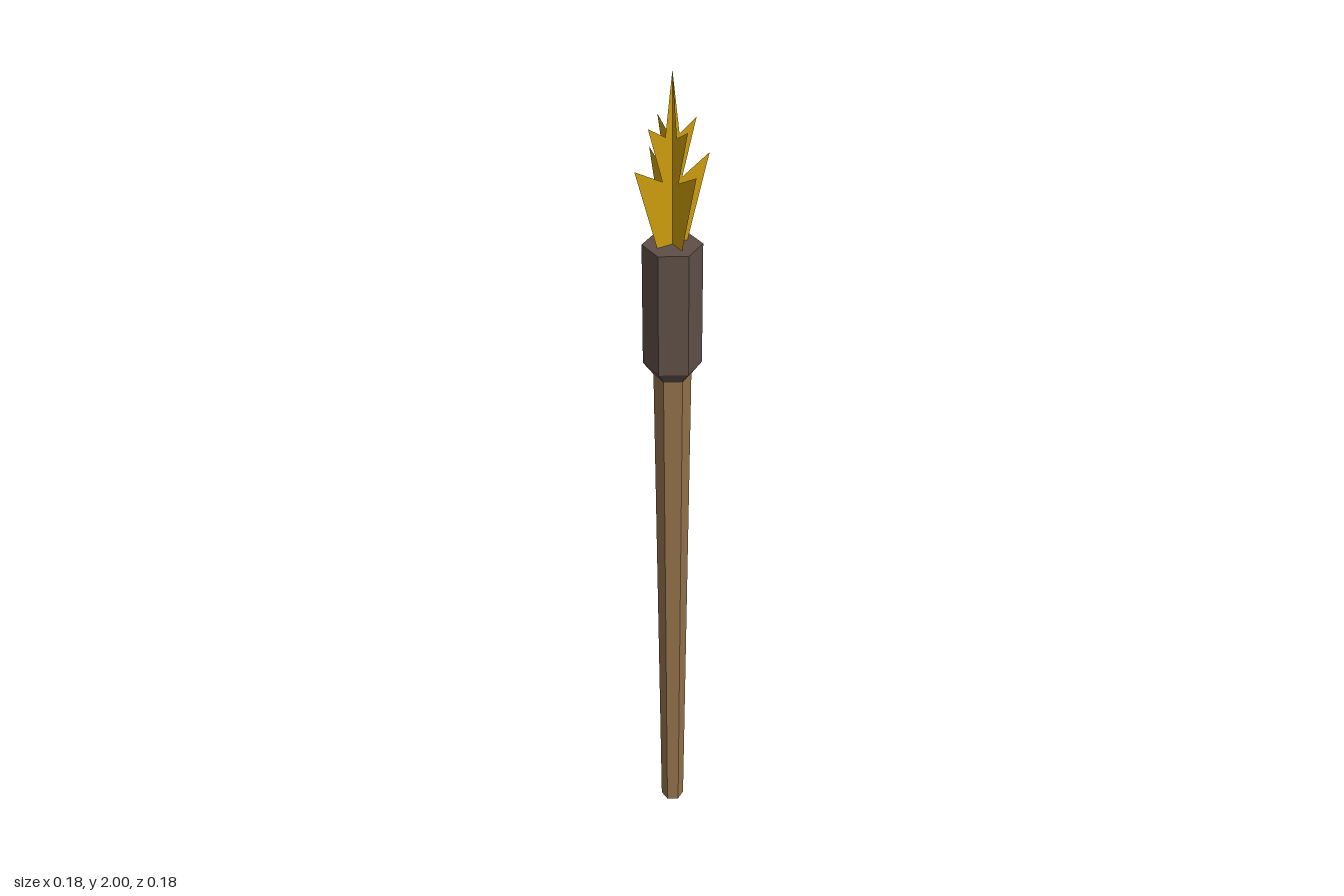
import * as THREE from 'three';

const SIDES = 6;

function material(color, side = THREE.FrontSide) {
  return new THREE.MeshStandardMaterial({ color, flatShading: true, side });
}

// Six-sided solid turned from a bottom-to-top [radius, height] profile
function turned(name, profile, mat) {
  const points = profile.map(([r, y]) => new THREE.Vector2(r, y));
  const mesh = new THREE.Mesh(new THREE.LatheGeometry(points, SIDES), mat);
  mesh.name = name;
  return mesh;
}

export function createModel() {
  const torch = new THREE.Group();
  torch.name = 'torch';

  // Tapered wooden handle
  torch.add(turned('handle',
    [[0, 0], [0.028, 0], [0.042, 1.3], [0, 1.3]], material(0x93724b)));

  // Dark wrapped head with a chamfered lower edge
  torch.add(turned('head',
    [[0, 1.295], [0.042, 1.295], [0.065, 1.325], [0.065, 1.615], [0, 1.615]], material(0x5f4f47)));

  // Flame: right half of the outline, mirrored, on two crossed sheets
  const half = [[0.037, 1.612], [0.091, 1.802], [0.024, 1.763], [0.058, 1.887], [0.017, 1.86]];
  const outline = [
    ...half, [0, 2],
    ...half.map(([x, y]) => [-x, y]).reverse(),
  ].map(([x, y]) => new THREE.Vector2(x, y));
  const flameGeometry = new THREE.ShapeGeometry(new THREE.Shape(outline));
  const flameMaterial = material(0xcc9c0c, THREE.DoubleSide);

  const flame = new THREE.Group();
  flame.name = 'flame';
  for (let i = 0; i < 2; i++) {
    const sheet = new THREE.Mesh(flameGeometry, flameMaterial);
    sheet.name = 'flameSheet';
    sheet.rotation.y = i * Math.PI / 2;
    flame.add(sheet);
  }
  torch.add(flame);

  return torch;
}
